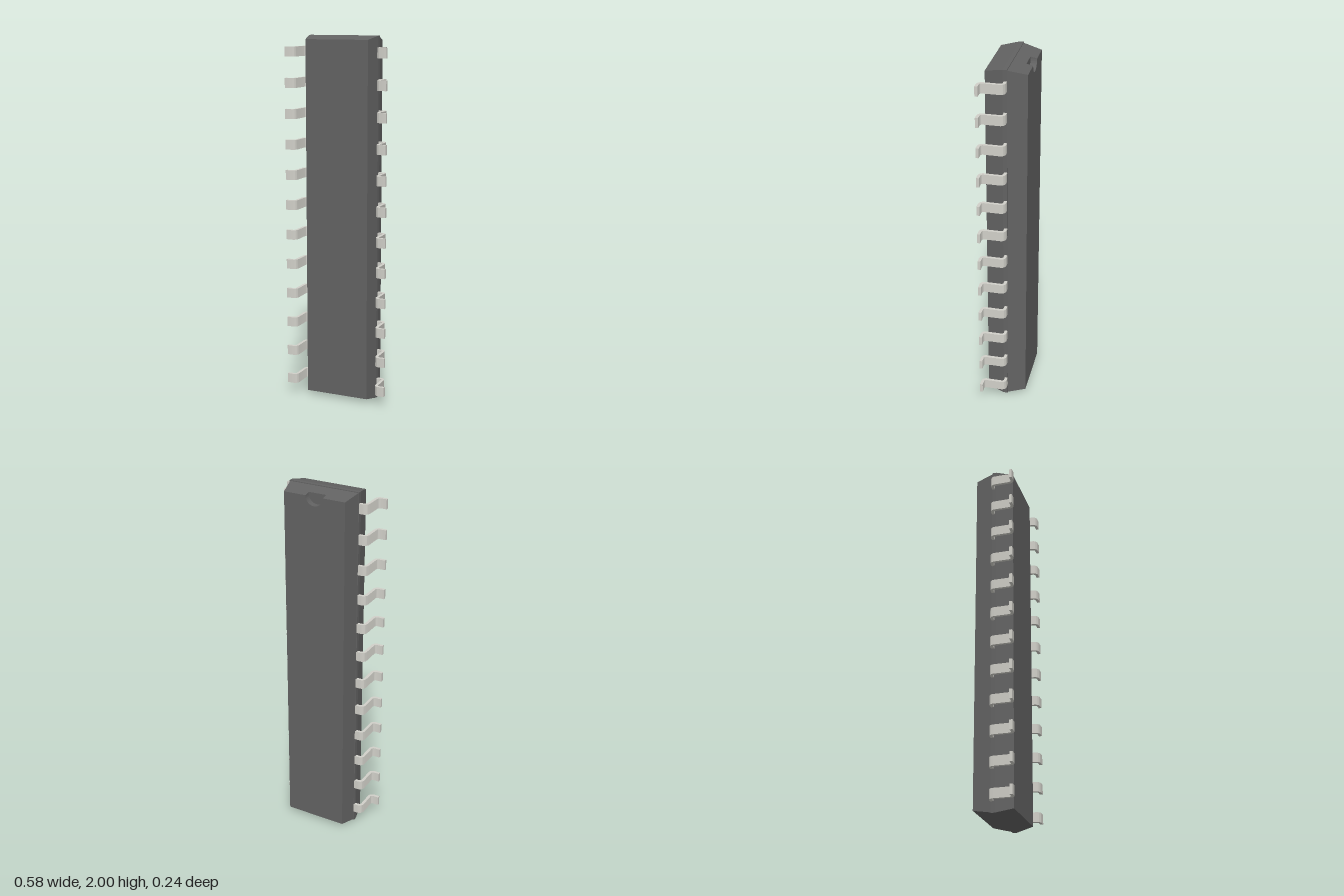
import * as THREE from 'three';
import { toCreasedNormals } from 'three/addons/utils/BufferGeometryUtils.js';

const bodyMaterial = new THREE.MeshStandardMaterial({ color: 0x626262 });
const leadMaterial = new THREE.MeshStandardMaterial({ color: 0xd0cfc8 });

// Box whose rectangle changes from (w0, h0) at z0 to (w1, h1) at z1; half sizes
function frustum(z0, w0, h0, z1, w1, h1) {
  const g = new THREE.BoxGeometry(2, 2, 2);
  const p = g.attributes.position;
  for (let i = 0; i < p.count; i++) {
    const near = p.getZ(i) > 0;
    p.setXYZ(i, p.getX(i) * (near ? w1 : w0), p.getY(i) * (near ? h1 : h0), near ? z1 : z0);
  }
  g.computeVertexNormals();
  return g;
}

// Back layer of the body with a half-round notch at its top end
function notchedLayer(zBack, zFront, w, h, grow) {
  const r = 0.05;
  const s = new THREE.Shape();
  s.moveTo(-w, -h);
  s.lineTo(w, -h);
  s.lineTo(w, h);
  s.lineTo(r, h);
  s.absarc(0, h, r, 0, -Math.PI, true);
  s.lineTo(-w, h);
  s.closePath();
  const g = new THREE.ExtrudeGeometry(s, { depth: zFront - zBack, bevelEnabled: false, curveSegments: 24 });
  g.translate(0, 0, zBack);
  // slope the outer walls, keep the notch wall straight
  const p = g.attributes.position;
  for (let i = 0; i < p.count; i++) {
    if (p.getZ(i) < (zBack + zFront) / 2) continue;
    const x = p.getX(i), y = p.getY(i);
    if (Math.abs(x) > r * 2) p.setX(i, x + Math.sign(x) * grow);
    if (Math.abs(y) > h - 1e-5) p.setY(i, y + Math.sign(y) * grow);
  }
  return toCreasedNormals(g, 0.5);
}

// Gull-wing lead: bent strip profile in x and -z, extruded along y
function leadGeometry() {
  const width = 0.053, outer = 0.028, inner = 0.012;
  const s = new THREE.Shape();
  s.moveTo(0.19, 0.022);
  s.lineTo(0.22, 0.022);
  s.absarc(0.22, -0.006, outer, Math.PI / 2, 0, true);
  s.lineTo(0.248, -0.091);
  s.absarc(0.26, -0.091, inner, Math.PI, Math.PI * 1.5, false);
  s.lineTo(0.292, -0.103);
  s.lineTo(0.292, -0.119);
  s.lineTo(0.26, -0.119);
  s.absarc(0.26, -0.091, outer, Math.PI * 1.5, Math.PI, true);
  s.lineTo(0.232, -0.006);
  s.absarc(0.22, -0.006, inner, 0, Math.PI / 2, false);
  s.lineTo(0.19, 0.006);
  s.closePath();
  const g = new THREE.ExtrudeGeometry(s, { depth: width, bevelEnabled: false, curveSegments: 8 });
  g.translate(0, 0, -width / 2);
  g.rotateX(-Math.PI / 2);
  return toCreasedNormals(g, 0.5);
}

export function createModel() {
  const model = new THREE.Group();
  model.name = 'chipPackage';

  // Body, from front to back
  const body = new THREE.Group();
  body.name = 'body';
  body.position.y = 1;
  const parts = {
    bodyFront: frustum(0, 0.2, 1, 0.094, 0.179, 0.98),
    bodyBand: frustum(-0.022, 0.2, 1, 0, 0.2, 1),
    bodyBack: frustum(-0.088, 0.1815, 0.9815, -0.022, 0.196, 0.996),
    notchedBack: notchedLayer(-0.122, -0.088, 0.174, 0.974, 0.0075),
  };
  for (const [name, geometry] of Object.entries(parts)) {
    const mesh = new THREE.Mesh(geometry, bodyMaterial);
    mesh.name = name;
    body.add(mesh);
  }
  model.add(body);

  // Two rows of twelve leads
  const lead = leadGeometry();
  const count = 12, pitch = 0.1663;
  for (const side of ['left', 'right']) {
    const row = new THREE.Group();
    row.name = side + 'Leads';
    row.position.y = 1;
    if (side === 'right') row.rotation.z = Math.PI;
    for (let i = 0; i < count; i++) {
      const mesh = new THREE.Mesh(lead, leadMaterial);
      mesh.name = side + 'Lead' + (i + 1);
      mesh.position.y = (i - (count - 1) / 2) * pitch;
      row.add(mesh);
    }
    model.add(row);
  }
  return model;
}
